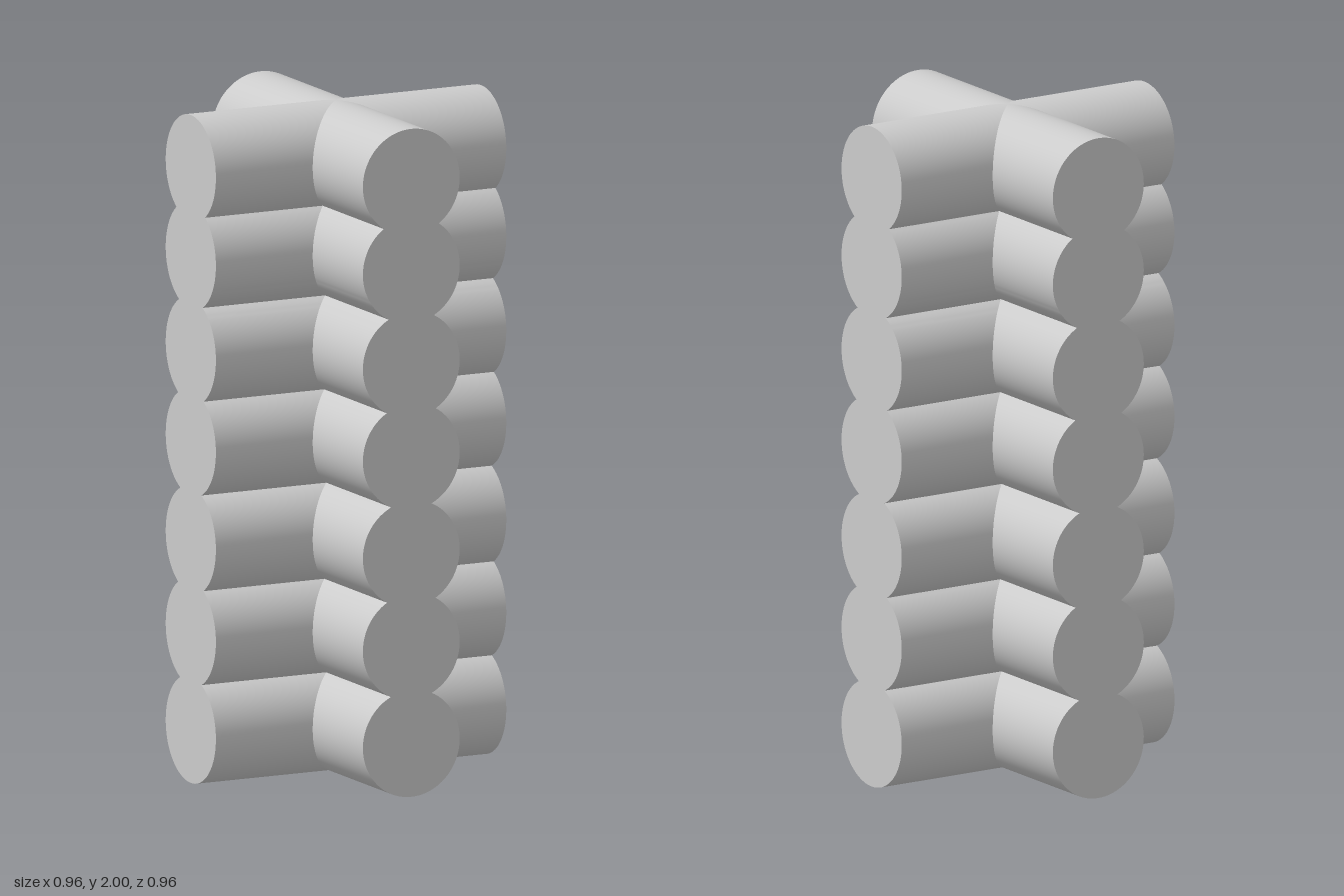
import * as THREE from 'three';
import { toCreasedNormals } from 'three/addons/utils/BufferGeometryUtils.js';

const R = 0.16;     // log radius
const REACH = 0.48; // arm length from the central axis
const CENTRES = [0.16, 0.45, 0.727, 1.018, 1.294, 1.577, 1.84];
const STEPS = 32;   // segments per half circle

// Outline of the fused stack of round logs, seen end-on
function stackOutline() {
  const right = [];
  const last = CENTRES.length - 1;
  CENTRES.forEach((c, i) => {
    const from = i === 0 ? -Math.PI / 2 : -Math.asin((c - CENTRES[i - 1]) / 2 / R);
    const to = i === last ? Math.PI / 2 : Math.asin((CENTRES[i + 1] - c) / 2 / R);
    // the notch point shared with the log below is already in the list
    for (let k = i === 0 ? 0 : 1; k <= STEPS; k++) {
      const a = from + (to - from) * k / STEPS;
      right.push(new THREE.Vector2(R * Math.cos(a), c + R * Math.sin(a)));
    }
  });
  const left = right.slice(1, -1).reverse().map(p => new THREE.Vector2(-p.x, p.y));
  return new THREE.Shape([...right, ...left]);
}

// One arm of the cross, mitred at 45 degrees where it meets its neighbours
function armGeometry() {
  const solid = new THREE.ExtrudeGeometry(stackOutline(), { depth: REACH, bevelEnabled: false });
  const pos = solid.attributes.position;
  const innerCap = solid.groups[0].count / 2; // hidden lid at the axis comes first
  const points = [];
  for (let i = innerCap; i < pos.count; i++) {
    const x = pos.getX(i), z = pos.getZ(i);
    points.push(x, pos.getY(i), z < 1e-6 ? Math.abs(x) : z);
  }
  const geo = new THREE.BufferGeometry();
  geo.setAttribute('position', new THREE.Float32BufferAttribute(points, 3));
  return toCreasedNormals(geo, 0.5);
}

export function createModel() {
  const model = new THREE.Group();
  model.name = 'crossedLogStack';
  const material = new THREE.MeshStandardMaterial({ color: 0xcccccc });
  const geometry = armGeometry();

  // Four equal arms around the vertical axis
  ['frontArm', 'leftArm', 'backArm', 'rightArm'].forEach((name, i) => {
    const arm = new THREE.Mesh(geometry, material);
    arm.name = name;
    arm.rotation.y = i * Math.PI / 2;
    model.add(arm);
  });
  return model;
}
